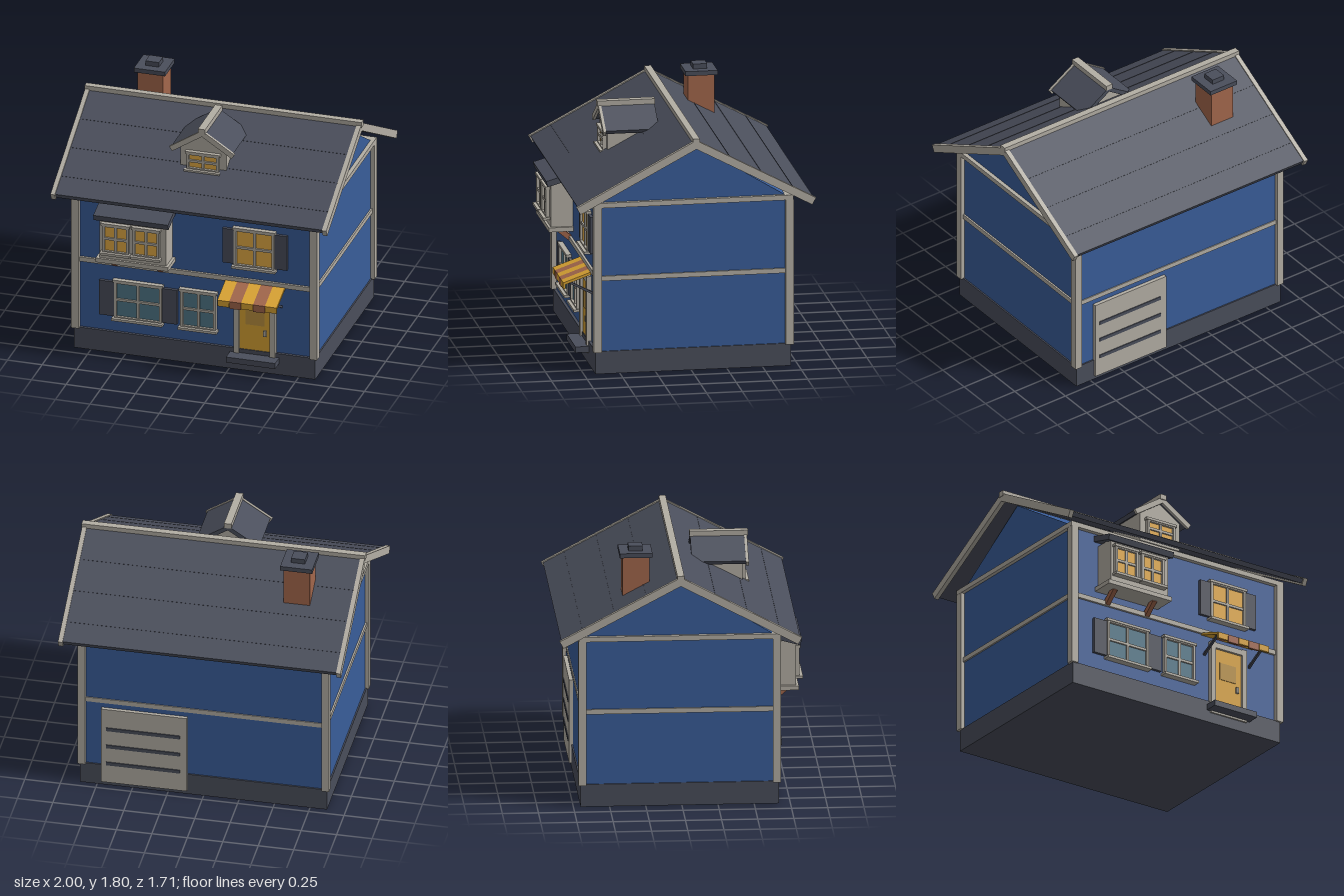
import * as THREE from 'three';

const mat = (name, color) => {
  const m = new THREE.MeshStandardMaterial({ color });
  m.name = name;
  return m;
};

export function createModel() {
  const wall = mat('blue wall', 0x395d9a);
  const trim = mat('stone trim', 0xb3aea4);
  const slate = mat('slate', 0x4a4e5b);
  const mustard = mat('mustard', 0xdaa434);
  const brick = mat('terracotta', 0xa3674c);
  const warm = mat('warm glass', 0xe6ad45);
  const cool = mat('cool glass', 0x50788a);
  const pane = mat('door pane', 0xbb9140);

  const house = new THREE.Group();
  house.name = 'house';
  const group = (name, parent = house) => {
    const g = new THREE.Group();
    g.name = name;
    parent.add(g);
    return g;
  };
  // Box given by its limits on each axis
  const box = (name, m, x0, x1, y0, y1, z0, z1, parent = house) => {
    const mesh = new THREE.Mesh(new THREE.BoxGeometry(x1 - x0, y1 - y0, z1 - z0), m);
    mesh.position.set((x0 + x1) / 2, (y0 + y1) / 2, (z0 + z1) / 2);
    mesh.name = name;
    parent.add(mesh);
    return mesh;
  };
  // Flat bar in the y-z plane whose top edge runs from (y0, z0) to (y1, z1)
  const slopedBar = (name, m, x0, x1, y0, z0, y1, z1, t, parent = house) => {
    const g = group(name, parent);
    g.position.set(0, y0, z0);
    g.rotation.x = Math.atan2(y0 - y1, z1 - z0);
    box(name, m, x0, x1, -t, 0, 0, Math.hypot(y1 - y0, z1 - z0), g);
    return g;
  };
  const prism = (name, m, pts, depth, parent = house) => {
    const shape = new THREE.Shape(pts.map(p => new THREE.Vector2(...p)));
    const mesh = new THREE.Mesh(new THREE.ExtrudeGeometry(shape, { depth, bevelEnabled: false }), m);
    mesh.name = name;
    parent.add(mesh);
    return mesh;
  };

  // Foundation, walls and gables
  const zc = -0.015;
  box('foundation', slate, -0.87, 0.87, 0, 0.16, -0.7, 0.67);
  box('walls', wall, -0.86, 0.86, 0.16, 1.2, -0.69, 0.65);
  const gable = prism('gable', wall, [[-0.675, 1.2], [0.675, 1.2], [0, 1.61]], 1.72);
  gable.rotation.y = Math.PI / 2;
  gable.position.set(-0.86, 0, zc);

  // Corner posts and horizontal trim bands
  const frame = group('timberTrim');
  for (const s of [-1, 1]) {
    for (const f of [-1, 1]) {
      const px = s * 0.86, pz = zc + f * 0.672;
      box('cornerPost', trim, px - 0.027, px + 0.027, 0.155, 1.19, pz - 0.028, pz + 0.028, frame);
    }
    for (const [y0, y1, o] of [[0.663, 0.697, 0.012], [1.187, 1.222, 0.028]]) {
      box('sideBand', trim, s * 0.86 - o, s * 0.86 + o, y0, y1, zc - 0.67 - o, zc + 0.67 + o, frame);
      const bz = zc + s * 0.67;
      box('longBand', trim, -0.86 - o, 0.86 + o, y0, y1, bz - o, bz + o, frame);
    }
  }

  // Main roof: one slab, three course lines and two rake boards per slope
  const a = 0.489;
  for (const s of [-1, 1]) {
    const slope = group(s > 0 ? 'frontRoof' : 'backRoof');
    slope.position.set(0, 1.662, zc);
    slope.rotation.x = s * a;
    const run = (name, m, x0, x1, y0, y1, d0, d1) =>
      box(name, m, x0, x1, y0, y1, Math.min(s * d0, s * d1), Math.max(s * d0, s * d1), slope);
    run('roofSlab', slate, -0.985, 0.985, -0.035, 0, 0, 0.935);
    for (const d of [0.27, 0.52, 0.77]) run('courseLine', slate, -0.97, 0.97, -0.002, 0.002, d, d + 0.006);
    for (const e of [-1, 1]) run('rakeBoard', trim, e * 0.98 - 0.016, e * 0.98 + 0.016, -0.048, 0.007, 0, 0.945);
  }
  box('ridgeCap', trim, -1, 1, 1.642, 1.682, zc - 0.024, zc + 0.024);

  // Chimney
  const chimney = group('chimney');
  box('chimneyStack', brick, -0.686, -0.5, 1.35, 1.733, -0.398, -0.212, chimney);
  box('chimneyCap', slate, -0.706, -0.48, 1.733, 1.765, -0.418, -0.192, chimney);
  box('chimneyPot', slate, -0.642, -0.544, 1.765, 1.8, -0.354, -0.256, chimney);

  // Framed window centred on x, y with its back at z
  const makeWindow = (name, x, y, w, h, z, glass, bar = 0.018, depth = 0.03) => {
    const g = group(name);
    g.position.set(x, y, z);
    const W = w / 2, H = h / 2;
    box('glass', glass, -W, W, -H, H, 0, depth * 0.4, g);
    for (const s of [-1, 1]) {
      box('jamb', trim, s * W - bar / 2, s * W + bar / 2, -H, H, 0, depth, g);
      box('rail', trim, -W, W, s * H - bar / 2, s * H + bar / 2, 0, depth, g);
    }
    box('mullion', trim, -bar / 2, bar / 2, -H, H, 0, depth * 0.8, g);
    box('transom', trim, -W, W, -bar / 2, bar / 2, 0, depth * 0.8, g);
    const e = W + bar;
    box('lintel', trim, -e, e, H, H + bar, 0, depth + 0.006, g);
    box('sill', trim, -e - 0.003, e + 0.003, -H - bar, -H, 0, depth + 0.022, g);
    return g;
  };
  makeWindow('upperWindow', 0.43, 0.933, 0.275, 0.27, 0.65, warm);
  makeWindow('wideLowerWindow', -0.41, 0.41, 0.325, 0.27, 0.65, cool);
  makeWindow('narrowLowerWindow', 0.025, 0.41, 0.238, 0.27, 0.65, cool);

  // Shutters
  for (const [x0, x1, y0, y1] of [[0.2, 0.292, 0.805, 1.066], [0.57, 0.666, 0.805, 1.066],
    [-0.69, -0.583, 0.28, 0.542], [-0.237, -0.128, 0.28, 0.542]]) {
    box('shutter', slate, x0, x1, y0, y1, 0.65, 0.672);
  }

  // Bay window
  const bay = group('bayWindow');
  box('bayBody', trim, -0.645, -0.165, 0.78, 1.1, 0.64, 0.805, bay);
  box('bayBase', trim, -0.67, -0.145, 0.752, 0.783, 0.64, 0.822, bay);
  slopedBar('bayRoof', slate, -0.68, -0.14, 1.17, 0.65, 1.117, 0.842, 0.042, bay);
  for (const x of [-0.525, -0.305]) makeWindow('bayPane', x, 0.943, 0.172, 0.2, 0.803, warm, 0.018, 0.028);
  for (const x of [-0.577, -0.246]) slopedBar('bayBracket', brick, x - 0.017, x + 0.017, 0.695, 0.645, 0.775, 0.74, 0.038, bay);

  // Front door, frame and step
  const door = group('frontDoor');
  box('doorLeaf', mustard, 0.318, 0.547, 0.13, 0.6, 0.64, 0.664, door);
  box('doorPane', pane, 0.365, 0.502, 0.352, 0.478, 0.66, 0.668, door);
  box('doorHandle', trim, 0.498, 0.518, 0.28, 0.322, 0.66, 0.682, door);
  for (const x of [0.302, 0.564]) box('doorJamb', trim, x - 0.019, x + 0.019, 0.075, 0.62, 0.64, 0.683, door);
  box('doorHead', trim, 0.283, 0.583, 0.575, 0.615, 0.64, 0.683, door);
  box('threshold', trim, 0.283, 0.583, 0.075, 0.1, 0.64, 0.683, door);
  box('doorStep', slate, 0.255, 0.61, 0.088, 0.13, 0.64, 0.766, door);

  // Striped awning with valance and two arms
  const awning = group('awning');
  for (let i = 0; i < 5; i++) {
    const x0 = 0.22 + i * 0.0858, m = i % 2 ? brick : mustard;
    slopedBar('awningStripe', m, x0, x0 + 0.0858, 0.677, 0.645, 0.603, 0.855, 0.018, awning);
    box('valance', m, x0 + 0.002, x0 + 0.084, i % 2 ? 0.55 : 0.558, 0.603, 0.842, 0.858, awning);
  }
  for (const x of [0.245, 0.62]) slopedBar('awningArm', slate, x - 0.008, x + 0.008, 0.52, 0.645, 0.61, 0.815, 0.016, awning);

  // Dormer: body, pitched roof, rake trim, ridge cap and window
  const dormer = group('dormer');
  const body = prism('dormerBody', trim,
    [[-0.165, 1.35], [0.165, 1.35], [0.165, 1.56], [0, 1.67], [-0.165, 1.56]], 0.33, dormer);
  body.position.z = 0.135;
  for (const s of [-1, 1]) {
    const side = group('dormerSlope', dormer);
    side.position.y = 1.7;
    side.rotation.z = -s * 0.575;
    const run = (name, m, len, y0, y1, z0, z1) =>
      box(name, m, Math.min(0, s * len), Math.max(0, s * len), y0, y1, z0, z1, side);
    run('dormerRoof', slate, 0.265, -0.03, 0, 0.112, 0.492);
    run('dormerRake', trim, 0.278, -0.034, 0.004, 0.485, 0.505);
  }
  box('dormerRidge', trim, -0.026, 0.026, 1.683, 1.72, 0.108, 0.512, dormer);
  makeWindow('dormerWindow', 0, 1.452, 0.215, 0.115, 0.46, warm, 0.018, 0.03);

  // Garage door on the back with three slots
  const garage = group('garageDoor');
  box('garagePanel', trim, 0.115, 0.72, 0.03, 0.625, -0.716, -0.68, garage);
  for (const y of [0.185, 0.325, 0.465]) box('garageSlot', slate, 0.165, 0.685, y - 0.013, y + 0.013, -0.722, -0.714, garage);

  return house;
}
